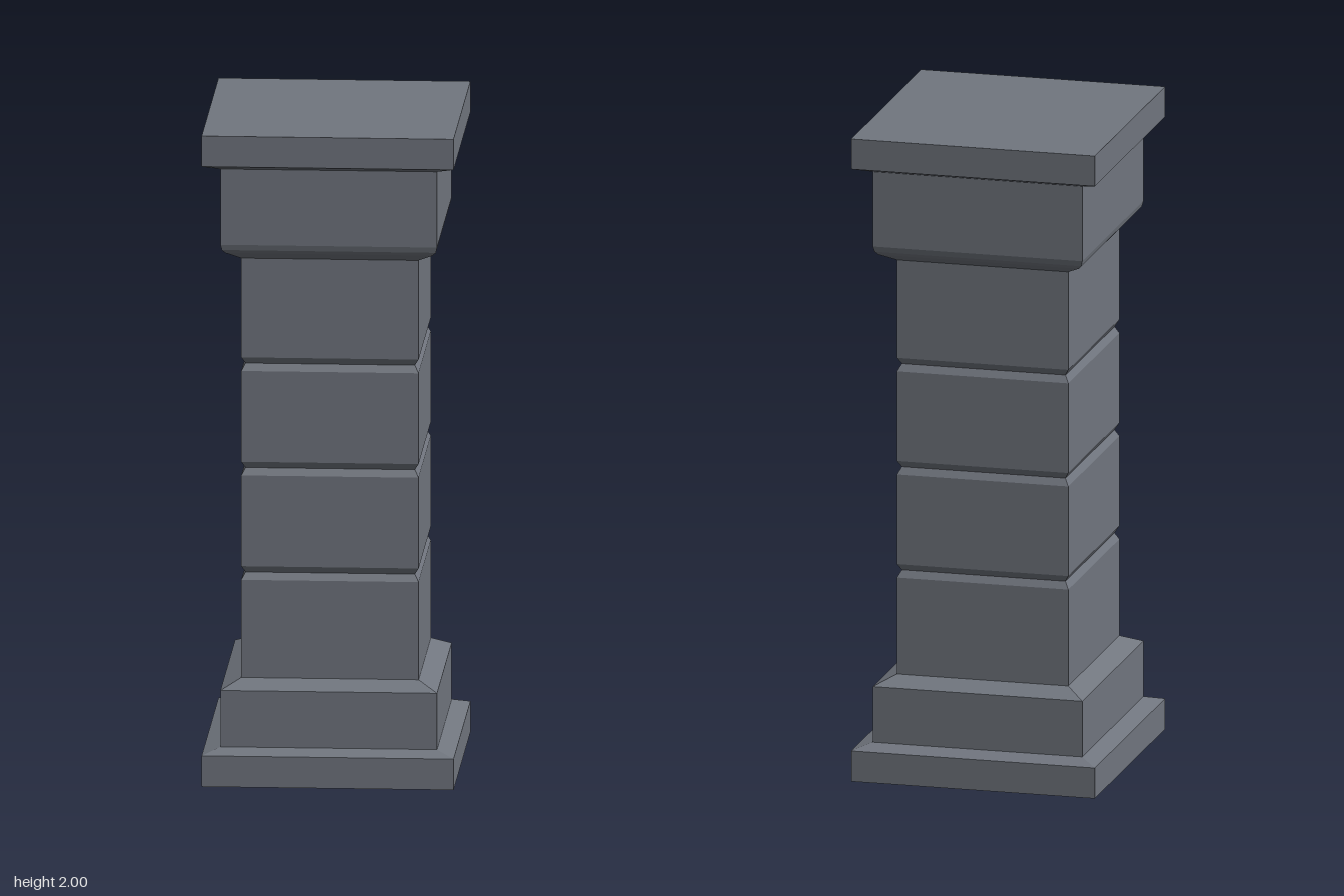
import * as THREE from 'three';

// Depth is slightly greater than width by a constant offset
const DEPTH_EXTRA = 0.031;

// Sweeps a profile of [halfWidth, y] points around a rectangle; flat faces, open ends
function rectangularShell(profile, closeTop = false) {
  const pos = [];
  const ring = ([w, y]) => {
    const d = w + DEPTH_EXTRA;
    return [[-w, y, d], [w, y, d], [w, y, -d], [-w, y, -d]];
  };
  const quad = (a, b, c, d) => pos.push(...a, ...b, ...c, ...a, ...c, ...d);
  for (let i = 0; i < profile.length - 1; i++) {
    const lo = ring(profile[i]), hi = ring(profile[i + 1]);
    for (let s = 0; s < 4; s++) {
      const n = (s + 1) % 4;
      quad(lo[s], lo[n], hi[n], hi[s]);
    }
  }
  if (closeTop) quad(...ring(profile[profile.length - 1]));
  const geo = new THREE.BufferGeometry();
  geo.setAttribute('position', new THREE.Float32BufferAttribute(pos, 3));
  geo.computeVertexNormals();
  return geo;
}

export function createModel() {
  const stone = new THREE.MeshStandardMaterial({ color: 0x71767f, side: THREE.DoubleSide });
  stone.name = 'greyStone';
  const pillar = new THREE.Group();
  pillar.name = 'pillar';
  const add = (name, profile, closeTop) => {
    const mesh = new THREE.Mesh(rectangularShell(profile, closeTop), stone);
    mesh.name = name;
    pillar.add(mesh);
  };

  // Stepped base, hollow and open underneath
  add('base', [[0.379, 0], [0.379, 0.095], [0.326, 0.112], [0.326, 0.285], [0.267, 0.313]]);

  // Shaft with three V-shaped grooves
  const shaft = [[0.267, 0.313]];
  for (const y of [0.635, 0.956, 1.277]) {
    shaft.push([0.267, y - 0.022], [0.255, y], [0.267, y + 0.02]);
  }
  shaft.push([0.267, 1.602]);
  add('shaft', shaft);

  // Capital with a rounded lower edge
  add('capital', [[0.267, 1.602], [0.312, 1.627], [0.322, 1.638], [0.326, 1.655], [0.326, 1.888]]);

  // Top slab with a sloping underside
  add('topSlab', [[0.326, 1.888], [0.379, 1.906], [0.379, 2]], true);

  return pillar;
}
